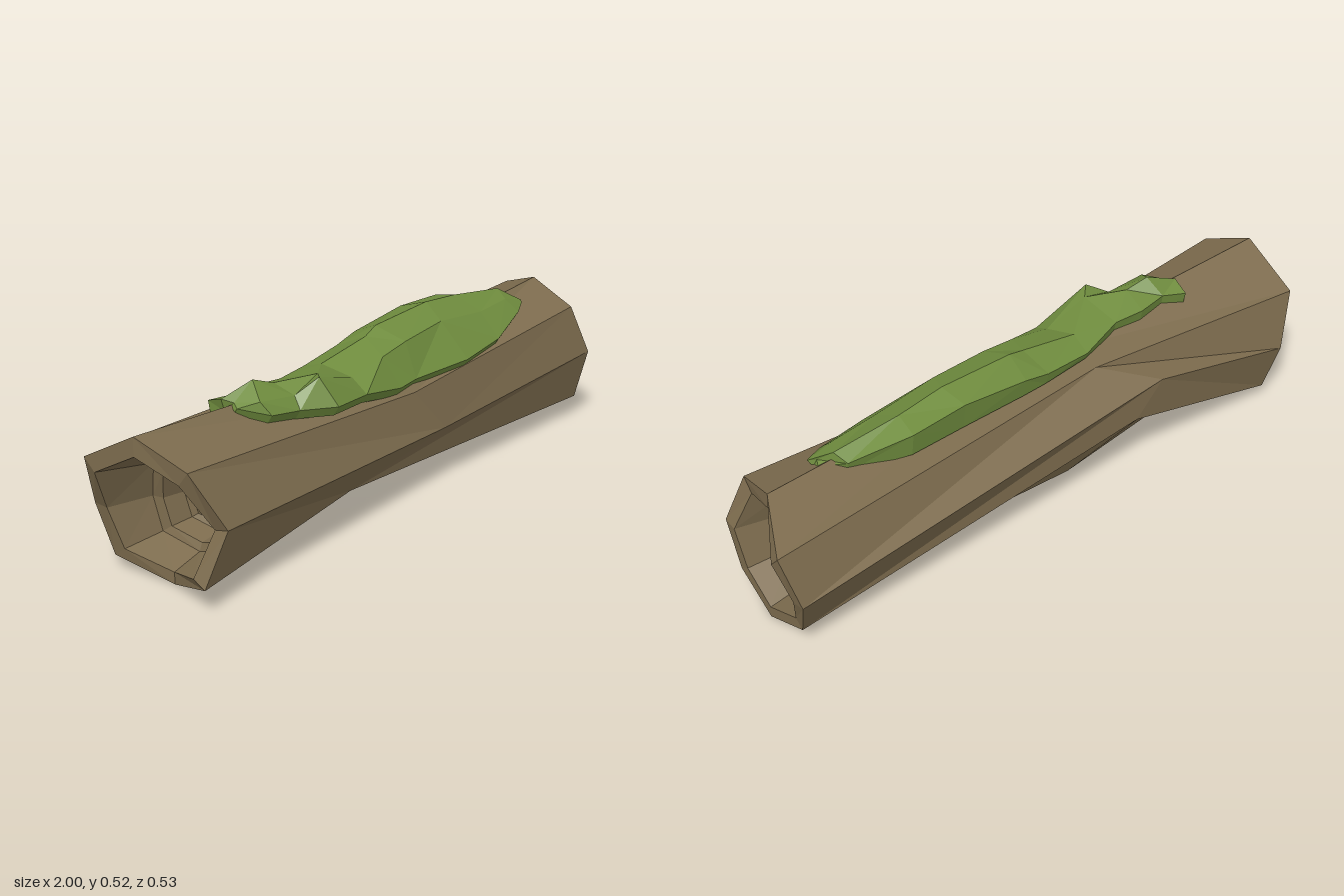
import * as THREE from 'three';

const bark = new THREE.MeshStandardMaterial({ color: 0x7d6c4e, flatShading: true });
bark.name = 'bark brown';
const green = new THREE.MeshStandardMaterial({ color: 0x6f8c3e, flatShading: true });
green.name = 'moss green';

// Skin a chain of closed rings ([x, y, z] points) with flat facets;
// flipped(i) picks the other diagonal for the quads of band i
function loft(rings, flipped) {
  const pos = [];
  const tri = (a, b, c) => {
    if (a !== b && b !== c && c !== a) pos.push(...a, ...b, ...c);
  };
  for (let i = 0; i < rings.length - 1; i++) {
    const n = rings[i].length;
    for (let j = 0; j < n; j++) {
      const k = (j + 1) % n;
      const a = rings[i][j], b = rings[i][k], c = rings[i + 1][k], d = rings[i + 1][j];
      if (flipped(i)) {
        tri(a, d, b);
        tri(d, c, b);
      } else {
        tri(a, d, c);
        tri(a, c, b);
      }
    }
  }
  const g = new THREE.BufferGeometry();
  g.setAttribute('position', new THREE.Float32BufferAttribute(pos, 3));
  g.computeVertexNormals();
  return g;
}

const centre = (ring) => [0, 1, 2].map((k) => ring.reduce((s, p) => s + p[k], 0) / ring.length);

// A ring shrunk towards its centre and pushed into the log
function inset(ring, scale, depth, ragged = 0.3) {
  const c = centre(ring);
  return ring.map((p) => [
    c[0] + (p[0] - c[0]) * ragged - Math.sign(c[0]) * depth,
    c[1] - 0.04 * (1 - scale) + (p[1] - c[1]) * scale,
    c[2] + (p[2] - c[2]) * scale,
  ]);
}

// All points of a ring joined at one point
function pole(ring) {
  const c = centre(ring);
  return ring.map(() => c);
}

function createLog() {
  // Octagonal sections, starting at the top and turning to the back
  const leftEnd = [
    [-1, 0.475, 0.03], [-1, 0.37, -0.165], [-0.93, 0.2, -0.21], [-0.9, 0.043, -0.172],
    [-0.87, 0.002, 0.03], [-0.96, 0.08, 0.235], [-0.9, 0.24, 0.267], [-0.97, 0.405, 0.195],
  ];
  const waist = [
    [0, 0.43, 0.04], [-0.22, 0.395, -0.105], [-0.4, 0.325, -0.21], [-0.3, 0.22, -0.21],
    [-0.11, 0.053, -0.11], [-0.25, 0.105, 0.135], [0.15, 0.195, 0.178], [0.03, 0.335, 0.15],
  ];
  const rightEnd = [
    [0.91, 0.458, -0.035], [1, 0.39, -0.21], [0.97, 0.235, -0.267], [0.93, 0.073, -0.187],
    [0.93, 0.002, -0.02], [0.92, 0.07, 0.138], [0.93, 0.235, 0.18], [0.88, 0.395, 0.138],
  ];
  // Stepped hollow: rim, wall, ledge, inner wall, floor
  const hollow = (end) => [
    inset(end, 0.8, 0, 1), inset(end, 0.66, 0.15), inset(end, 0.53, 0.16),
    inset(end, 0.48, 0.23), inset(end, 0.4, 0.24),
  ];
  const left = hollow(leftEnd).reverse(), right = hollow(rightEnd);
  const rings = [
    pole(left[0]), ...left, leftEnd, waist, rightEnd, ...right, pole(right[4]),
  ];
  const leftHalf = rings.indexOf(leftEnd);
  const mesh = new THREE.Mesh(loft(rings, (i) => i === leftHalf), bark);
  mesh.name = 'hollowLog';
  return mesh;
}

function createMoss() {
  // x, back z, back top y, ridge z, ridge y, shoulder z, shoulder y, front z, front y
  const stations = [
    [-0.64, -0.05, 0.455, 0.01, 0.475, 0.04, 0.465, 0.06, 0.445],
    [-0.57, -0.02, 0.46, 0.035, 0.51, 0.1, 0.47, 0.125, 0.42],
    [-0.47, -0.035, 0.455, 0.05, 0.485, 0.11, 0.455, 0.14, 0.41],
    [-0.37, -0.025, 0.45, 0.1, 0.488, 0.14, 0.497, 0.195, 0.405],
    [-0.21, -0.075, 0.435, 0.0, 0.46, 0.1, 0.435, 0.165, 0.39],
    [-0.04, -0.095, 0.45, 0.0, 0.492, 0.1, 0.46, 0.155, 0.36],
    [0.05, -0.1, 0.47, -0.01, 0.51, 0.09, 0.475, 0.14, 0.36],
    [0.28, -0.105, 0.495, -0.02, 0.52, 0.07, 0.485, 0.16, 0.365],
    [0.47, -0.112, 0.485, -0.03, 0.503, 0.06, 0.46, 0.14, 0.38],
    [0.66, -0.06, 0.45, -0.02, 0.475, 0.04, 0.46, 0.08, 0.41],
    [0.72, 0.0, 0.435, 0.02, 0.44, 0.04, 0.435, 0.05, 0.42],
  ];
  const rings = stations.map(([x, bz, by, rz, ry, sz, sy, fz, fy], i) => {
    const shift = i % 2 ? 0.02 : -0.01; // uneven facets
    return [
      [x + shift, ry, rz], [x, by, bz], [x, 0.41, bz + 0.01],
      [x, 0.37, 0.03], [x, fy - 0.02, fz - 0.02], [x, fy + 0.01, fz], [x - shift, sy, sz],
    ];
  });
  const mesh = new THREE.Mesh(
    loft([pole(rings[0]), ...rings, pole(rings[rings.length - 1])], (i) => i % 2 === 0), green);
  mesh.name = 'mossPatch';
  return mesh;
}

export function createModel() {
  const group = new THREE.Group();
  group.name = 'mossyLog';
  group.add(createLog(), createMoss());
  return group;
}
